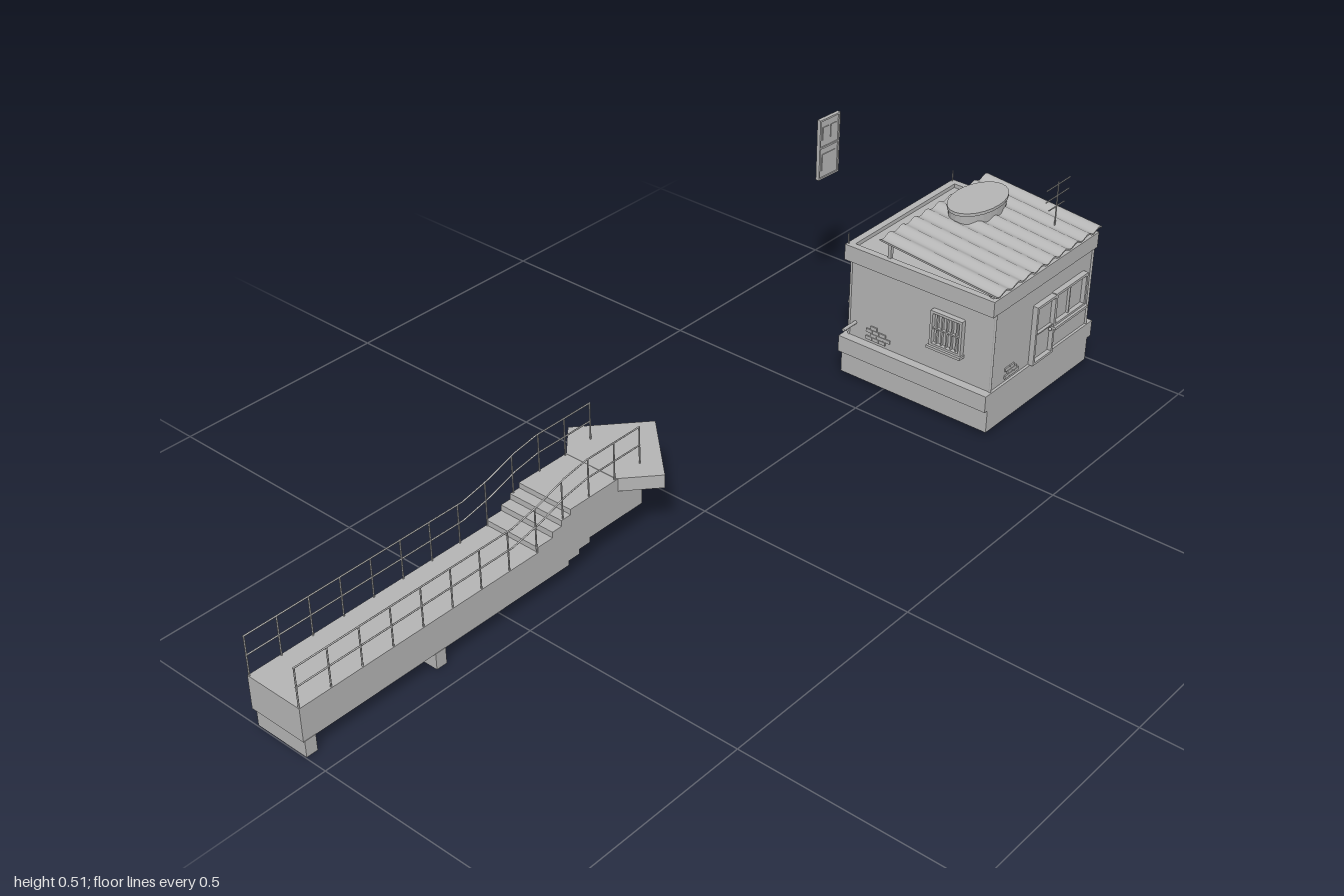
import * as THREE from 'three';

export function createModel() {
  const model = new THREE.Group();
  const grey = new THREE.MeshStandardMaterial({ color: 0xb4b4b4 });
  grey.name = 'plain grey';

  function add(name, geometry, parent = model) {
    const mesh = new THREE.Mesh(geometry, grey);
    mesh.name = name;
    parent.add(mesh);
    return mesh;
  }
  // Box given by its limits on each axis
  function box(name, x0, x1, y0, y1, z0, z1, parent = model) {
    const m = add(name, new THREE.BoxGeometry(x1 - x0, y1 - y0, z1 - z0), parent);
    m.position.set((x0 + x1) / 2, (y0 + y1) / 2, (z0 + z1) / 2);
    return m;
  }
  // Thin round bar between two points
  function bar(name, a, b, r, parent = model) {
    const p = new THREE.Vector3(...a), q = new THREE.Vector3(...b);
    const m = add(name, new THREE.CylinderGeometry(r, r, p.distanceTo(q), 6), parent);
    m.position.copy(p).lerp(q, 0.5);
    m.quaternion.setFromUnitVectors(new THREE.Vector3(0, 1, 0), q.sub(p).normalize());
    return m;
  }
  function extrude(points, depth) {
    const shape = new THREE.Shape(points.map(p => new THREE.Vector2(...p)));
    return new THREE.ExtrudeGeometry(shape, { depth, bevelEnabled: false });
  }
  function group(name, parent = model) {
    const g = new THREE.Group();
    g.name = name;
    parent.add(g);
    return g;
  }

  // Walkway: stepped slab
  const walkway = group('walkway');
  const slab = add('steppedDeck', extrude([
    [-1, 0.035], [-0.34, 0.035], [-0.34, 0.045], [-0.31, 0.045], [-0.31, 0.056], [-0.28, 0.056],
    [-0.28, 0.067], [-0.13, 0.067], [-0.13, 0.16], [-0.33, 0.16], [-0.33, 0.148], [-0.355, 0.148],
    [-0.355, 0.135], [-0.38, 0.135], [-0.38, 0.122], [-0.42, 0.122], [-0.42, 0.11], [-1, 0.11],
  ], 0.136), walkway);
  slab.position.z = -0.187;
  for (const x of [-0.998, -0.69]) box('deckFoot', x, x + 0.025, 0, 0.036, -0.178, -0.05, walkway);

  // Arrow-shaped landing
  const arrow = add('arrowLanding', extrude([
    [-0.2, 0.185], [-0.13, 0.247], [0, 0.13], [-0.13, -0.01], [-0.2, 0.053],
  ].reverse(), 0.03), walkway);
  arrow.rotation.x = -Math.PI / 2;
  arrow.position.y = 0.131;

  // Railings on both sides
  const railPath = [[-1, 0.197], [-0.48, 0.197], [-0.41, 0.212], [-0.34, 0.235], [-0.28, 0.245], [-0.13, 0.245]];
  const railY = x => {
    const i = Math.max(1, railPath.findIndex(p => p[0] >= x - 1e-6));
    const [a, b] = [railPath[i - 1], railPath[i]];
    return a[1] + (b[1] - a[1]) * (x - a[0]) / (b[0] - a[0]);
  };
  const deckY = x => (x < -0.42 ? 0.11 : x < -0.38 ? 0.122 : x < -0.33 ? 0.14 : 0.16);
  for (const z of [-0.184, -0.054]) {
    const railing = group('railing', walkway);
    for (let i = 0; i <= 12; i++) {
      const x = -0.998 + i * 0.0722;
      bar('railPost', [x, deckY(x), z], [x, railY(Math.min(x, -0.13)), z], 0.0017, railing);
    }
    for (const drop of [0, 0.042])
      for (let i = 1; i < railPath.length; i++) {
        const [a, b] = [railPath[i - 1], railPath[i]];
        bar('rail', [a[0], a[1] - drop, z], [b[0], b[1] - drop, z], 0.0017, railing);
      }
  }

  // House body
  const house = group('house');
  box('base', 0.588, 0.977, 0.01, 0.105, -0.108, 0.275, house);
  box('baseLedge', 0.576, 0.989, 0.066, 0.105, -0.109, 0.276, house);
  box('walls', 0.597, 0.97, 0.105, 0.3, -0.1, 0.27, house);
  for (const x of [0.598, 0.969])
    for (const z of [-0.097, 0.271]) bar('cornerPipe', [x, 0.105, z], [x, 0.292, z], 0.003, house);

  // Parapet around the flat roof
  box('parapetFront', 0.585, 0.982, 0.29, 0.327, 0.257, 0.273, house);
  box('parapetBack', 0.585, 0.982, 0.29, 0.327, -0.108, -0.092, house);
  for (const x of [0.585, 0.966]) box('parapetSide', x, x + 0.016, 0.29, 0.327, -0.092, 0.257, house);
  box('roofDeck', 0.6, 0.967, 0.295, 0.318, -0.093, 0.258, house);

  // Corrugated sheet sloping to the front
  const sheetGeo = new THREE.BoxGeometry(0.4, 0.004, 0.297, 72, 1, 1);
  const sp = sheetGeo.attributes.position;
  for (let i = 0; i < sp.count; i++)
    sp.setY(i, sp.getY(i) + 0.004 * Math.sin(sp.getX(i) / 0.4 * Math.PI * 18));
  sheetGeo.computeVertexNormals();
  const sheet = add('corrugatedRoof', sheetGeo, house);
  sheet.position.set(0.783, 0.355, 0.13);
  sheet.rotation.x = 0.1;
  for (const x of [0.6, 0.72, 0.84, 0.96]) {
    box('frontRoofStud', x - 0.004, x + 0.004, 0.32, 0.339, 0.255, 0.263, house);
    box('backRoofStud', x - 0.004, x + 0.004, 0.315, 0.364, -0.004, 0.004, house);
  }
  box('eaveBeam', 0.59, 0.976, 0.333, 0.339, 0.255, 0.261, house);

  // Oval water tank
  const tank = add('waterTank', new THREE.LatheGeometry([
    [0, 0.312], [0.046, 0.312], [0.048, 0.345], [0.05, 0.346], [0.051, 0.379],
    [0.0535, 0.38], [0.0535, 0.387], [0, 0.387],
  ].map(p => new THREE.Vector2(...p)), 24).toNonIndexed(), house);
  tank.geometry.computeVertexNormals();
  tank.position.set(0.847, 0, 0.048);
  tank.scale.x = 1.65;

  // Aerial and rear rods
  const aerial = group('aerial', house);
  bar('mast', [0.913, 0.31, 0.203], [0.913, 0.45, 0.203], 0.0018, aerial);
  for (const [y, w] of [[0.445, 0.045], [0.418, 0.045], [0.393, 0.03]])
    bar('crossRod', [0.913 - w, y, 0.203], [0.913 + w, y, 0.203], 0.0015, aerial);
  for (const x of [0.592, 0.975]) bar('cornerRod', [x, 0.32, -0.104], [x, 0.352, -0.104], 0.0016, house);

  // Framed opening facing +z around its own origin, with bars, pane and sill
  function opening(name, w, h, columns, rows, sill) {
    const g = group(name, house);
    const t = 0.006;
    box('pane', -w / 2, w / 2, 0, h, -0.002, 0.002, g);
    for (const s of [-1, 1]) box('jamb', s * w / 2 - t / 2, s * w / 2 + t / 2, 0, h, 0, 0.012, g);
    for (const y of [0, h - t]) box('frameRail', -w / 2, w / 2, y, y + t, 0, 0.012, g);
    for (let i = 1; i < columns; i++) {
      const x = -w / 2 + w * i / columns;
      box('uprightBar', x - 0.0015, x + 0.0015, 0, h, 0.002, 0.008, g);
    }
    for (let i = 1; i < rows; i++) box('crossBar', -w / 2, w / 2, h * i / rows - 0.0015, h * i / rows + 0.0015, 0.002, 0.009, g);
    if (sill) box('sill', -w / 2 - 0.006, w / 2 + 0.006, -0.005, 0.001, 0, 0.018, g);
    return g;
  }
  function place(g, x, y, z, turn) {
    g.position.set(x, y, z);
    g.rotation.y = turn;
  }
  const right = Math.PI / 2;
  place(opening('leftWindow', 0.07, 0.084, 6, 2, true), 0.971, 0.168, 0, right);
  place(opening('rightWindow', 0.074, 0.084, 6, 2, true), 0.596, 0.168, 0.16, -right);
  place(opening('backWindow', 0.15, 0.08, 2, 1, true), 0.7, 0.17, -0.101, Math.PI);
  place(opening('frontWindow', 0.118, 0.08, 2, 1, true), 0.876, 0.17, 0.271, 0);
  place(opening('door', 0.07, 0.143, 1, 2, false), 0.78, 0.105, 0.271, 0);
  const knob = add('doorKnob', new THREE.SphereGeometry(0.004, 8, 6), house);
  knob.position.set(0.804, 0.168, 0.28);

  // Spouts
  box('wallSpout', 0.969, 0.979, 0.255, 0.29, 0.046, 0.052, house);
  bar('drainPipe', [0.6, 0.14, -0.08], [0.553, 0.14, -0.08], 0.004, house);

  // Patches of bare brick: [row, offset, count]
  function bricks(x, y, z, turn, layout) {
    const g = group('barePatch', house);
    for (const [row, start, count] of layout)
      for (let i = 0; i < count; i++) {
        const u = start + i * 0.0175;
        box('brick', u, u + 0.0165, row * 0.009, row * 0.009 + 0.008, -0.002, 0.003, g);
      }
    place(g, x, y, z, turn);
  }
  const patch = [[0, 0, 3], [1, 0.012, 3], [2, 0, 3], [3, 0.012, 1], [2, 0.06, 2], [4, 0, 2], [5, 0.01, 2]];
  const smallPatch = [[0, 0, 3], [1, 0.01, 2], [2, 0, 2]];
  bricks(0.97, 0.108, 0.197, right, patch);
  bricks(0.65, 0.112, 0.27, 0, smallPatch);
  bricks(0.597, 0.112, -0.05, -right, patch.slice(0, 4));
  bricks(0.68, 0.112, -0.1, Math.PI, smallPatch);

  // Separate upright panel behind the house
  const panel = group('hangingPanel');
  box('board', -0.033, 0.033, 0.366, 0.51, -0.004, 0.002, panel);
  for (const s of [-1, 1]) {
    box('sideTrim', s * 0.031 - 0.002, s * 0.031 + 0.002, 0.366, 0.51, 0, 0.005, panel);
    box('upperPlate', s * 0.013 - 0.009, s * 0.013 + 0.009, 0.46, 0.49, 0, 0.004, panel);
  }
  for (const y of [0.366, 0.44, 0.506]) box('crossTrim', -0.033, 0.033, y, y + 0.004, 0, 0.005, panel);
  box('lowerPlate', -0.022, 0.022, 0.385, 0.425, 0, 0.004, panel);
  panel.position.set(0.753, 0, -0.288);
  panel.rotation.y = -0.06;

  return model;
}
